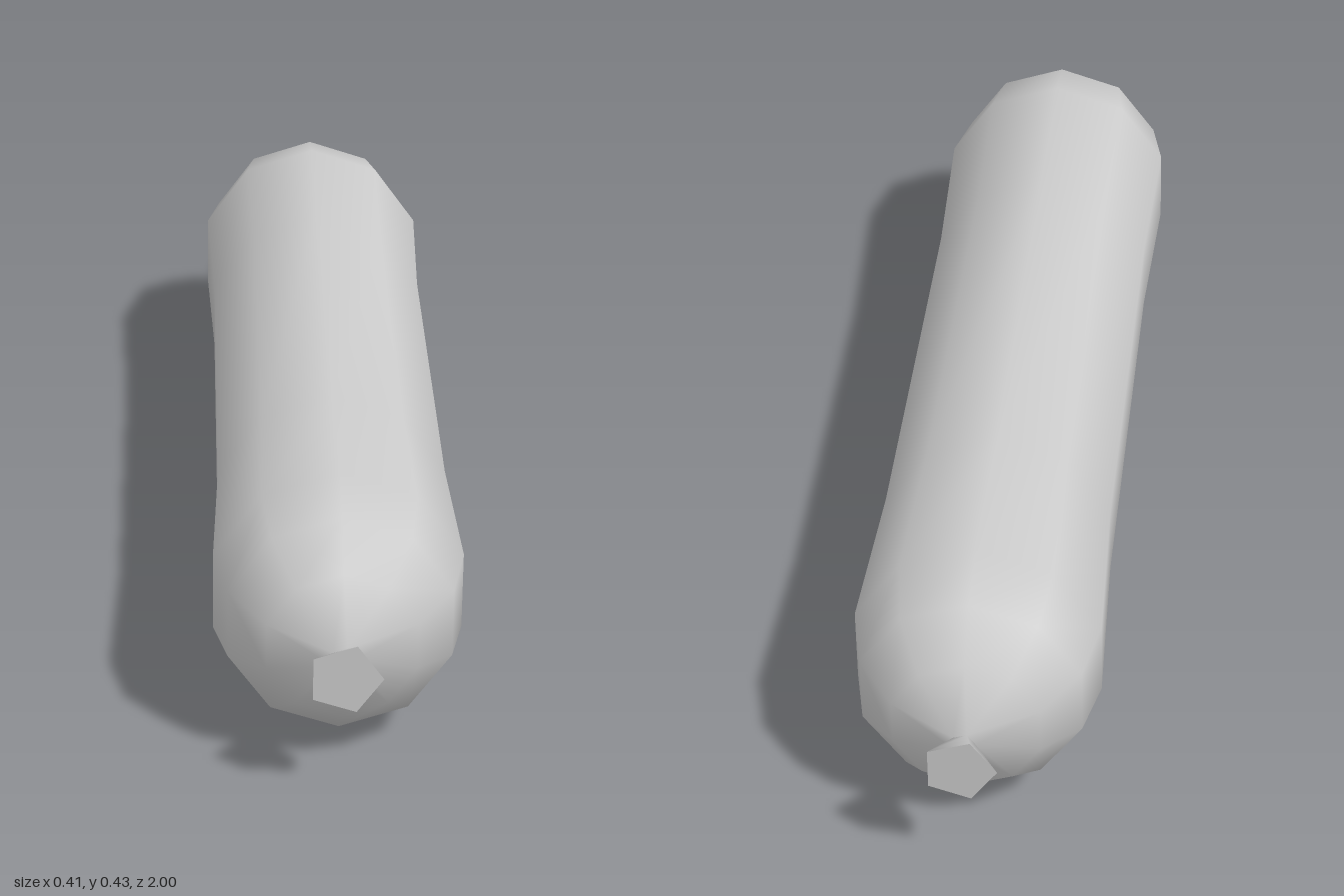
import * as THREE from 'three';
import { mergeVertices } from 'three/addons/utils/BufferGeometryUtils.js';

const DEG = Math.PI / 180;
const CENTRE_Y = 0.213;
const SIDES = 10;
const TILT = -0.8;       // slight roll of the casing, in degrees
const PINCH_Z = 0.937;
const PINCH_R = 0.02;

// Half profile from the middle to the pinch: [z, radius]
const PROFILE = [[0.4, 0.202], [0.71, 0.213], [0.82, 0.189], [0.895, 0.126], [PINCH_Z, PINCH_R]];

// Ten-sided casing; at each pinch neighbouring corners gather in pairs into a pentagon
function casingGeometry() {
  const rings = [...PROFILE.map(([z, r]) => [-z, r]).reverse(), ...PROFILE];
  const positions = [];
  const index = [];
  rings.forEach(([z, r], i) => {
    const gather = i === 0 ? 18 : i === rings.length - 1 ? -18 : 0;
    for (let j = 0; j < SIDES; j++) {
      const a = (TILT + 18 + 36 * j + (j % 2 ? -gather : gather)) * DEG;
      positions.push(r * Math.cos(a), r * Math.sin(a), z);
      if (i === rings.length - 1) continue;
      const k = (j + 1) % SIDES;
      const [p, q, s, t] = [i * SIDES + j, i * SIDES + k, (i + 1) * SIDES + j, (i + 1) * SIDES + k];
      index.push(p, q, t, p, t, s);
    }
  });
  let geometry = new THREE.BufferGeometry();
  geometry.setAttribute('position', new THREE.Float32BufferAttribute(positions, 3));
  geometry.setIndex(index);
  geometry = mergeVertices(geometry);
  geometry.computeVertexNormals();
  return geometry;
}

// Flared five-sided tip beyond a pinch, closed by a flat end
function tipGeometry(side) {
  const length = 1 - PINCH_Z;
  const start = (side > 0 ? 0 : 36) + TILT + 90;
  const [top, bottom] = side > 0 ? [0.061, PINCH_R] : [PINCH_R, 0.061];
  return new THREE.CylinderGeometry(top, bottom, length, 5, 1, false, start * DEG)
    .rotateX(Math.PI / 2)
    .translate(0, 0, side * (PINCH_Z + length / 2));
}

export function createModel() {
  const group = new THREE.Group();
  group.name = 'sausage';
  const material = new THREE.MeshStandardMaterial({ color: 0xcccccc });

  const add = (name, geometry) => {
    const mesh = new THREE.Mesh(geometry, material);
    mesh.name = name;
    mesh.position.y = CENTRE_Y;
    group.add(mesh);
  };

  add('casing', casingGeometry());
  add('frontTip', tipGeometry(1));
  add('backTip', tipGeometry(-1));
  return group;
}
